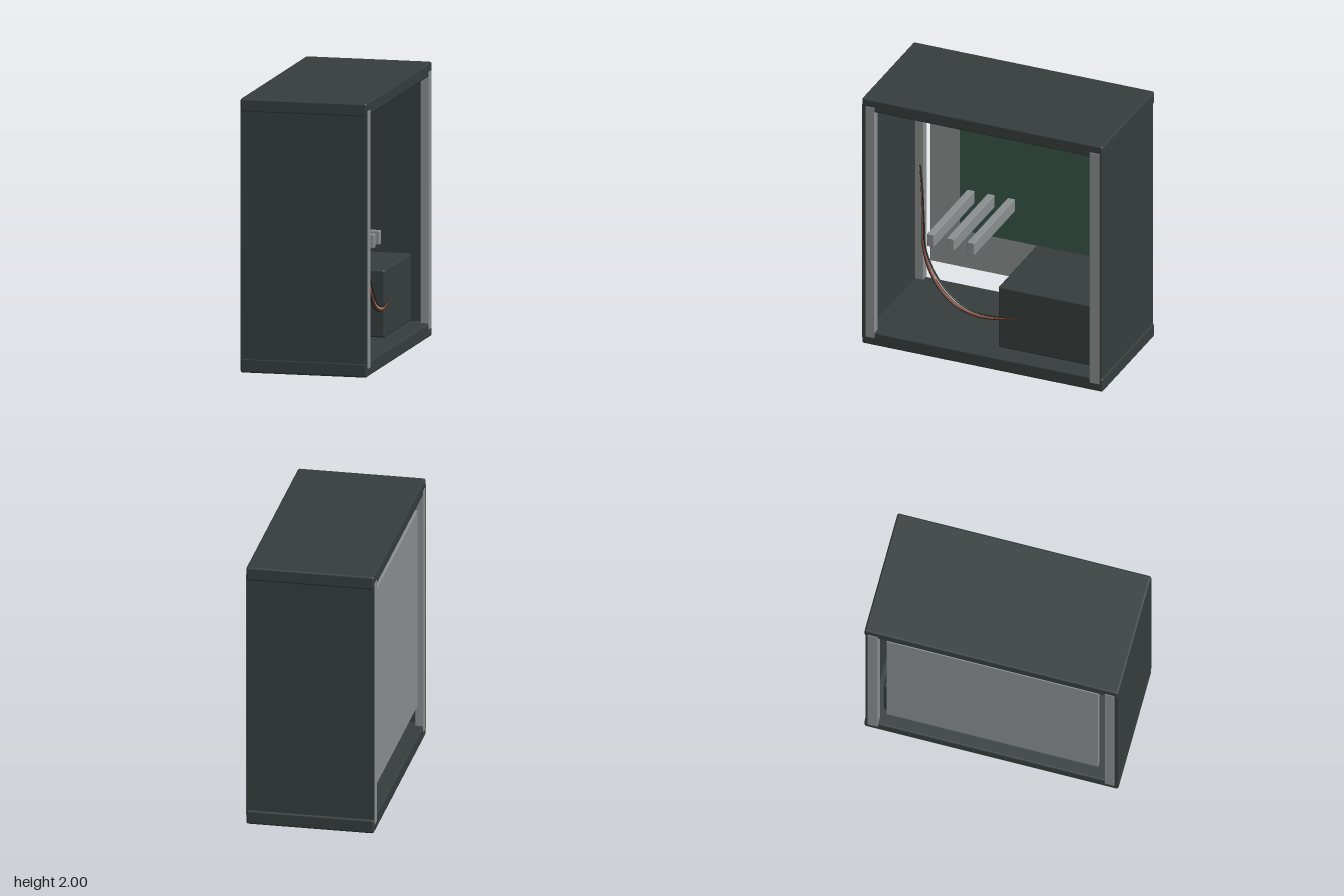
import * as THREE from 'three';
import { RoundedBoxGeometry } from 'three/addons/geometries/RoundedBoxGeometry.js';

const mat = (name, color) => {
  const m = new THREE.MeshStandardMaterial({ color });
  m.name = name;
  return m;
};

export function createModel() {
  const group = new THREE.Group();
  const shell = mat('charcoal shell', 0x363e3d);
  const metal = mat('grey metal', 0x8c9090);
  const board = mat('board green', 0x375648);
  const black = mat('black wire', 0x262b2b);
  const orange = mat('rust wire', 0x9c4a32);
  const pale = mat('pale wire', 0xb4b6b6);

  // Box given by its extents; r rounds the edges
  const box = (name, material, [x0, x1], [y0, y1], [z0, z1], r = 0) => {
    const s = [x1 - x0, y1 - y0, z1 - z0];
    const geo = r ? new RoundedBoxGeometry(...s, 2, r) : new THREE.BoxGeometry(...s);
    const mesh = new THREE.Mesh(geo, material);
    mesh.name = name;
    mesh.position.set((x0 + x1) / 2, (y0 + y1) / 2, (z0 + z1) / 2);
    group.add(mesh);
    return mesh;
  };

  // Case shell, open on both sides
  const W = [-0.464, 0.464];
  box('topCover', shell, W, [1.9, 2], [-0.935, 0.935], 0.015);
  box('bottomCover', shell, W, [0.02, 0.125], [-0.935, 0.935], 0.015);
  box('frontPanel', shell, W, [0.07, 1.95], [0.9, 0.932]);
  box('backPanel', shell, W, [0.07, 1.95], [-0.924, -0.905]);

  // Corner posts, slightly proud of the covers
  for (const sx of [-1, 1]) {
    const x = [0.405 * sx, 0.468 * sx].sort((a, b) => a - b);
    box('frontPost', metal, x, [0.08, 1.94], [0.835, 0.906], 0.004);
    box('backPost', metal, x, [0.08, 1.94], [-0.912, -0.835], 0.004);
  }

  // Feet strips
  for (const z of [-0.58, 0.58]) box('foot', shell, [-0.36, 0.36], [0, 0.03], [z - 0.08, z + 0.08], 0.008);

  // Board tray, circuit board and expansion cards
  box('boardTray', metal, [-0.435, -0.395], [0.3, 1.81], [-0.78, 0.78], 0.004);
  box('circuitBoard', board, [-0.395, -0.37], [0.61, 1.72], [-0.72, 0.535]);
  for (const z of [0.135, 0.292, 0.448]) {
    box('expansionCard', metal, [-0.37, 0.36], [0.85, 0.95], [z - 0.028, z + 0.028], 0.006);
  }

  // Power supply
  box('powerSupply', shell, [-0.35, 0.34], [0.14, 0.63], [-0.825, -0.07], 0.015);

  // Bundle of wires: they meet at both ends and spread along the bend
  const path = [[1.48, 0.54, 0], [1.3, 0.525, 0.2], [1.05, 0.515, 0.3], [0.82, 0.505, 0.6], [0.6, 0.42, 1],
    [0.43, 0.26, 1], [0.37, 0.08, 0.9], [0.38, -0.1, 0.5], [0.42, -0.285, 0]];
  [black, orange, pale, black].forEach((material, i) => {
    const off = (i - 1) * 0.014;
    const pts = path.map(([y, z, k]) => new THREE.Vector3(
      0.33 + 0.02 * k + (i % 2) * 0.006 * k,
      y + off * k * (z < 0.45 ? 0.8 : 0),
      z - off * k * (z > 0.2 ? 0.8 : 0)));
    const geo = new THREE.TubeGeometry(new THREE.CatmullRomCurve3(pts), 48, 0.007, 8);
    const wire = new THREE.Mesh(geo, material);
    wire.name = 'wire';
    group.add(wire);
  });

  return group;
}
